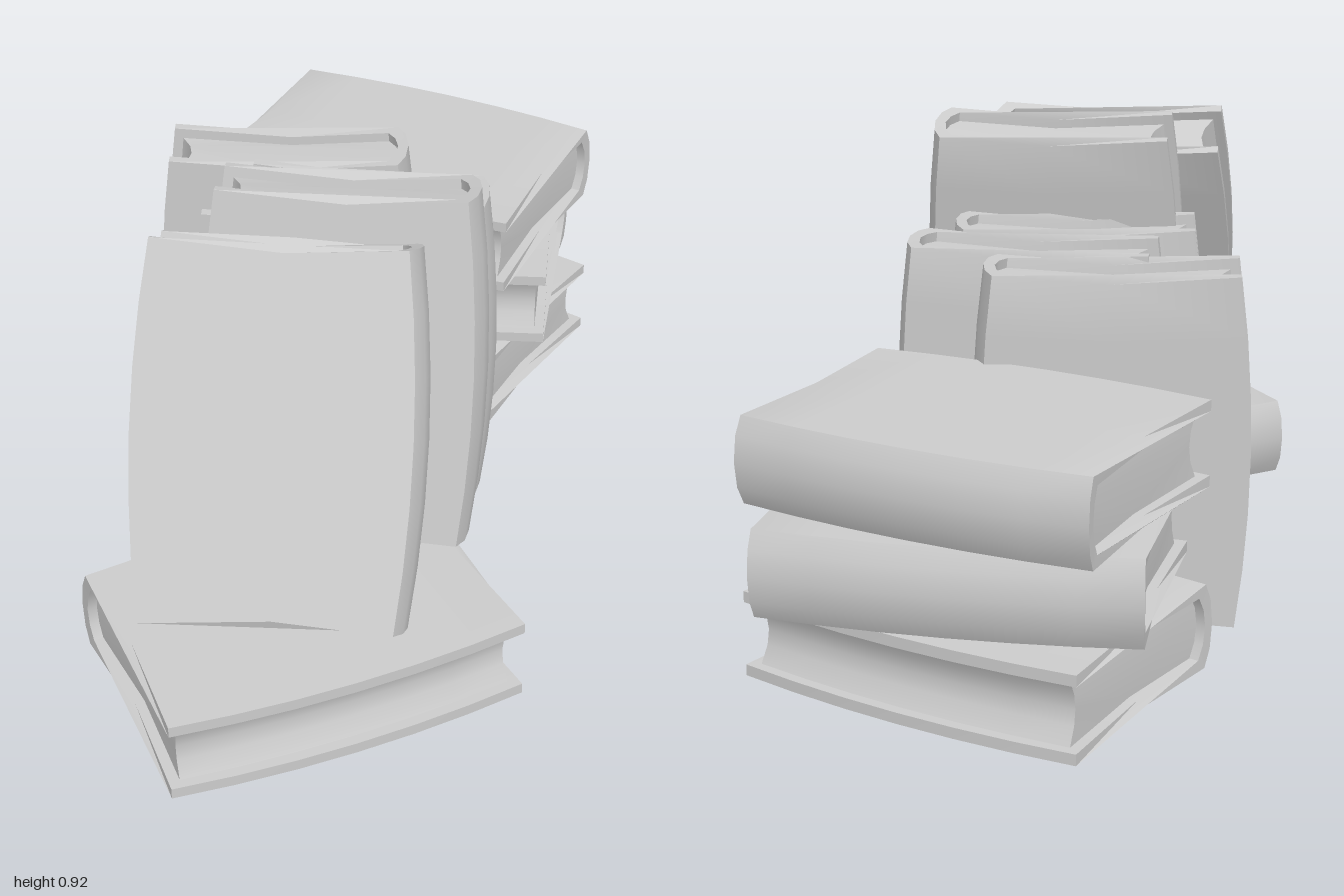
import * as THREE from 'three';
import { toCreasedNormals } from 'three/addons/utils/BufferGeometryUtils.js';

const LENGTH = 0.72, HALF_W = 0.25, HALF_T = 0.085, BOARD = 0.022;
const rad = THREE.MathUtils.degToRad;

// Extrudes a cross-section along the book's length (y), then bows the long
// sides outward and pinches the short ends in the middle.
function wornExtrusion(points, length) {
  const shape = new THREE.Shape(points.map(([x, y]) => new THREE.Vector2(x, y)));
  const geo = new THREE.ExtrudeGeometry(shape, { depth: length, steps: 6, bevelEnabled: false });
  geo.translate(0, 0, -length / 2);
  geo.rotateX(-Math.PI / 2);
  const pos = geo.attributes.position;
  for (let i = 0; i < pos.count; i++) {
    const u = pos.getX(i), v = pos.getY(i);
    const along = v / (LENGTH / 2), across = u / HALF_W;
    pos.setX(i, u * (1 + 0.1 * (1 - along * along)));
    pos.setY(i, v * (1 - 0.05 * (1 - Math.min(1, across * across))));
  }
  return toCreasedNormals(geo, 0.6);
}

// Mirrors a half profile (from t > 0 to the middle) to t < 0
function mirrored(half) {
  const other = half.filter(([, t]) => t !== 0).map(([u, t]) => [u, -t]).reverse();
  return [...half, ...other];
}

// Cover: two boards joined by a rounded spine at +x
function coverGeometry() {
  const inT = HALF_T - BOARD;
  const outer = mirrored([[-HALF_W, HALF_T], [0, HALF_T], [0.228, HALF_T], [0.244, 0.05], [HALF_W, 0]]);
  const inner = mirrored([[-HALF_W, inT], [0, inT], [0.207, inT], [0.222, 0.035], [0.228, 0]]);
  return wornExtrusion([...outer, ...inner.reverse()], LENGTH);
}

// Page block: hollow fore edge, rounded back against the spine
function pagesGeometry() {
  const t = HALF_T - BOARD;
  return wornExtrusion(mirrored([
    [-0.208, 0], [-0.213, 0.03], [-0.23, t], [0, t], [0.207, t], [0.222, 0.035], [0.228, 0],
  ]).slice(0, -1).concat([[-0.213, -0.03]]), LENGTH - 0.04);
}

export function createModel() {
  const model = new THREE.Group();
  model.name = 'books';
  const material = new THREE.MeshStandardMaterial({ color: 0xcccccc });
  const cover = coverGeometry(), pages = pagesGeometry();

  // name, x, y, z, tilt and yaw in degrees
  const books = [
    ['stackBottomBook', 0.05, 0.105, -0.623, 90, -114.8],
    ['stackMiddleBook', 0.056, 0.278, -0.627, 90, 85],
    ['stackTopBook', 0.055, 0.455, -0.63, 90, 69],
    ['uprightBookBack', -0.16, 0.36, -0.252, 0, 4],
    ['uprightBookMiddle', 0.02, 0.36, -0.08, 0, -3],
    ['uprightBookFront', -0.05, 0.36, 0.11, 0, 4],
    ['leaningBookBack', 0.013, 0.547, 0.295, -10.8, 0],
    ['leaningBookFront', -0.085, 0.54, 0.55, -25.7, 0],
    ['flatFrontBook', -0.052, 0.105, 0.6, 90, 119.2],
  ];
  for (const [name, x, y, z, tilt, yaw] of books) {
    const book = new THREE.Group();
    book.name = name;
    for (const [part, geo] of [['cover', cover], ['pages', pages]]) {
      const mesh = new THREE.Mesh(geo, material);
      mesh.name = part;
      book.add(mesh);
    }
    book.position.set(x, y, z);
    book.rotation.set(rad(tilt), rad(yaw), 0, 'YXZ');
    model.add(book);
  }
  return model;
}
